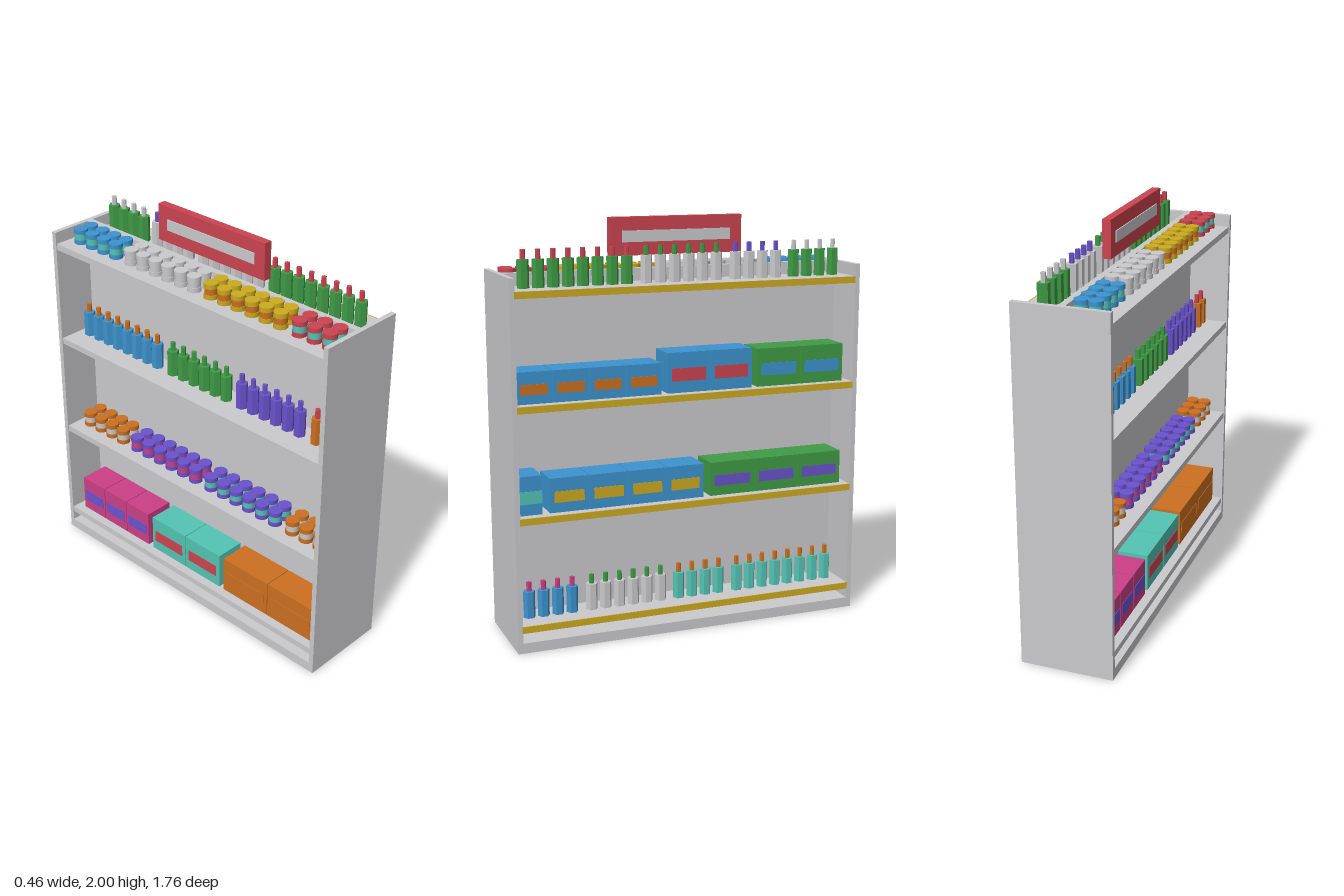
import * as THREE from 'three';

const HEX = {
  grey: 0xcacacd, red: 0xcc4450, green: 0x3f9b46, blue: 0x3c94d0, yellow: 0xccaa1f,
  orange: 0xcc7020, teal: 0x54c4b4, purple: 0x6a52cc, pink: 0xcc3f85,
};

export function createModel() {
  const root = new THREE.Group();
  root.name = 'storeShelf';
  const mats = {};
  for (const [name, hex] of Object.entries(HEX)) {
    mats[name] = new THREE.MeshStandardMaterial({ color: hex });
    mats[name].name = name;
  }

  const addMesh = (parent, name, geo, color, x, y, z) => {
    const mesh = new THREE.Mesh(geo, mats[color]);
    mesh.name = name;
    mesh.position.set(x, y, z);
    parent.add(mesh);
    return mesh;
  };
  // Box given by its minimum and maximum corners
  const block = (parent, name, color, x0, x1, y0, y1, z0, z1) =>
    addMesh(parent, name, new THREE.BoxGeometry(x1 - x0, y1 - y0, z1 - z0), color,
      (x0 + x1) / 2, (y0 + y1) / 2, (z0 + z1) / 2);
  // Faceted six-sided prism
  const prism = (r, h) => {
    const g = new THREE.CylinderGeometry(r, r, h, 6).toNonIndexed();
    g.computeVertexNormals();
    return g;
  };

  // Rack: base, divider, end panels
  const rack = new THREE.Group();
  rack.name = 'rack';
  root.add(rack);
  block(rack, 'base', 'grey', -0.23, 0.225, 0, 0.05, -0.878, 0.878);
  block(rack, 'divider', 'grey', -0.02, 0.013, 0.05, 1.76, -0.878, 0.878);
  for (const s of [-1, 1]) {
    const z0 = s > 0 ? 0.853 : -0.878;
    block(rack, 'endPanelRight', 'grey', -0.23, -0.02, 0.05, 1.76, z0, z0 + 0.025);
    block(rack, 'endPanelLeft', 'grey', 0.013, 0.225, 0.05, 1.76, z0, z0 + 0.025);
  }

  // Shelves on both sides, price strips on the +x side
  const levels = [0.132, 0.655, 1.179, 1.7];
  for (const y of levels) {
    block(rack, 'shelfRight', 'grey', -0.225, -0.02, y - 0.032, y, -0.853, 0.853);
    block(rack, 'shelfLeft', 'grey', 0.013, 0.224, y - 0.032, y, -0.853, 0.853);
    block(rack, 'priceStrip', 'yellow', 0.224, 0.23, y - 0.032, y, -0.853, 0.856);
  }

  // Header sign
  block(root, 'sign', 'red', -0.024, 0.017, 1.82, 2, -0.335, 0.335);
  block(root, 'signPanel', 'grey', -0.029, 0.022, 1.883, 1.937, -0.275, 0.275);

  // Bottles
  const bodyGeo = prism(0.029, 0.13);
  const capGeo = prism(0.0125, 0.045);
  const bottleRow = (x, y, z0, count, color, cap) => {
    for (let i = 0; i < count; i++) {
      const bottle = new THREE.Group();
      bottle.name = 'bottle';
      bottle.position.set(x, y, z0 + i * 0.071);
      addMesh(bottle, 'bottleBody', bodyGeo, color, 0, 0.065, 0);
      addMesh(bottle, 'bottleCap', capGeo, cap, 0, 0.1525, 0);
      root.add(bottle);
    }
  };
  const L = 0.105;
  const R = -0.096;
  bottleRow(L, levels[3], -0.788, 4, 'green', 'grey');
  bottleRow(L, levels[3], -0.479, 4, 'grey', 'purple');
  bottleRow(L, levels[3], -0.167, 6, 'grey', 'green');
  bottleRow(L, levels[3], 0.284, 8, 'green', 'red');
  bottleRow(L, levels[0], -0.785, 8, 'teal', 'orange');
  bottleRow(L, levels[0], -0.188, 4, 'teal', 'orange');
  bottleRow(L, levels[0], 0.122, 6, 'grey', 'green');
  bottleRow(L, levels[0], 0.576, 4, 'blue', 'pink');
  bottleRow(R, levels[2], -0.785, 8, 'blue', 'orange');
  bottleRow(R, levels[2], -0.18, 6, 'green', 'green');
  bottleRow(R, levels[2], 0.275, 6, 'purple', 'purple');
  bottleRow(R, levels[2], 0.73, 2, 'orange', 'red');

  // Cans, two deep
  const lidGeo = new THREE.CylinderGeometry(0.034, 0.034, 0.022, 14);
  const bandGeo = new THREE.CylinderGeometry(0.031, 0.031, 0.035, 14);
  const canRow = (y, z0, count, color, band) => {
    for (let i = 0; i < count; i++) {
      for (const x of [-0.128, -0.062]) {
        const can = new THREE.Group();
        can.name = 'can';
        can.position.set(x, y, z0 + i * 0.084);
        addMesh(can, 'canBottom', lidGeo, color, 0, 0.011, 0);
        addMesh(can, 'canLabel', bandGeo, band, 0, 0.0375, 0);
        addMesh(can, 'canLid', lidGeo, color, 0, 0.064, 0);
        root.add(can);
      }
    }
  };
  canRow(levels[3], -0.78, 4, 'blue', 'teal');
  canRow(levels[3], -0.42, 6, 'grey', 'grey');
  canRow(levels[3], 0.107, 6, 'yellow', 'orange');
  canRow(levels[3], 0.635, 3, 'red', 'teal');
  canRow(levels[1], -0.78, 4, 'orange', 'grey');
  canRow(levels[1], -0.42, 6, 'purple', 'pink');
  canRow(levels[1], 0.107, 6, 'purple', 'teal');
  canRow(levels[1], 0.635, 3, 'orange', 'grey');

  // Cartons with a thin label on the outward face
  const cartonRow = (side, y, z0, z1, count, h, color, label, margin = 0.022) => {
    const pitch = (z1 - z0) / count;
    for (let i = 0; i < count; i++) {
      const a = z0 + i * pitch + 0.002;
      const b = z0 + (i + 1) * pitch - 0.002;
      const [x0, x1] = side > 0 ? [0.022, 0.18] : [-0.18, -0.025];
      const [l0, l1] = side > 0 ? [x1, x1 + 0.003] : [x0 - 0.003, x0];
      const carton = new THREE.Group();
      carton.name = 'carton';
      block(carton, 'cartonBox', color, x0, x1, y, y + h, a, b);
      block(carton, 'cartonLabel', label, l0, l1, y + h * 0.29, y + h * 0.61, a + margin, b - margin);
      root.add(carton);
    }
  };
  cartonRow(1, levels[2], -0.82, -0.354, 2, 0.186, 'green', 'blue');
  cartonRow(1, levels[2], -0.328, 0.112, 2, 0.194, 'blue', 'red');
  cartonRow(1, levels[2], 0.14, 0.852, 4, 0.15, 'blue', 'orange');
  cartonRow(1, levels[1], -0.82, -0.11, 3, 0.166, 'green', 'purple');
  cartonRow(1, levels[1], -0.078, 0.7, 4, 0.166, 'blue', 'yellow');
  cartonRow(1, levels[1], 0.732, 0.853, 1, 0.187, 'blue', 'teal', 0.001);
  cartonRow(-1, levels[0], -0.81, -0.3, 3, 0.19, 'pink', 'purple', 0.015);
  cartonRow(-1, levels[0], -0.27, 0.215, 2, 0.19, 'teal', 'red');
  cartonRow(-1, levels[0], 0.24, 0.83, 2, 0.19, 'orange', 'orange');

  return root;
}
